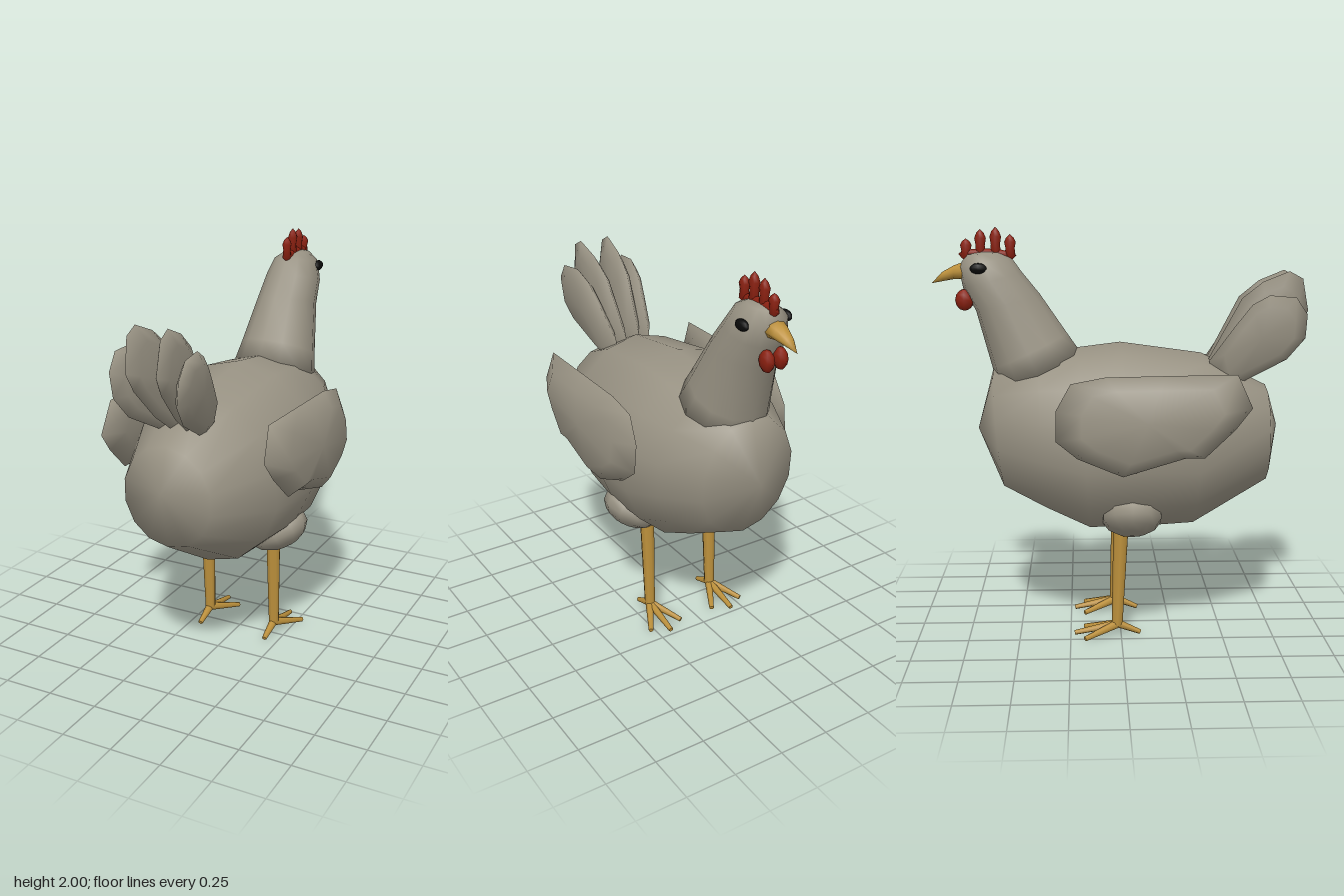
import * as THREE from 'three';
import { mergeVertices } from 'three/addons/utils/BufferGeometryUtils.js';

const V = (x, y, z) => new THREE.Vector3(x, y, z);

// Closed skin over rings of equal point count; winding is turned outward by its volume.
function skin(rings) {
  const n = rings[0].length, pts = rings.flat(), idx = [];
  for (let r = 0; r < rings.length - 1; r++) {
    for (let i = 0; i < n; i++) {
      const a = r * n + i, b = r * n + (i + 1) % n;
      idx.push(a, b, b + n, a, b + n, a + n);
    }
  }
  let volume = 0;
  for (let i = 0; i < idx.length; i += 3) {
    volume += pts[idx[i]].dot(V(0, 0, 0).crossVectors(pts[idx[i + 1]], pts[idx[i + 2]]));
  }
  if (volume < 0) idx.reverse();
  let g = new THREE.BufferGeometry().setFromPoints(pts);
  g.setIndex(idx);
  g = mergeVertices(g, 1e-5);
  g.computeVertexNormals();
  return g;
}

// Oval sections given as [z1, y1, z2, y2, halfWidth]: two opposite points on the centre plane.
function ovalLoft(sections, sides = 12) {
  return skin(sections.map(([z1, y1, z2, y2, w]) => Array.from({ length: sides }, (_, i) => {
    const a = i / sides * Math.PI * 2, c = Math.cos(a) / 2;
    return V(Math.sin(a) * w, (y1 + y2) / 2 + (y1 - y2) * c, (z1 + z2) / 2 + (z1 - z2) * c);
  })));
}

// Cushion-shaped blade from a side outline [z, y]; xAt gives its middle surface.
function cushion(outline, xAt, outer, inner) {
  const n = outline.length;
  const cz = outline.reduce((s, p) => s + p[0], 0) / n;
  const cy = outline.reduce((s, p) => s + p[1], 0) / n;
  const layers = [[0, outer], [0.72, outer * 0.85], [1, 0], [0.72, -inner * 0.85], [0, -inner]];
  return skin(layers.map(([k, d]) => outline.map(([pz, py]) => {
    const z = cz + (pz - cz) * k, y = cy + (py - cy) * k;
    return V(xAt(z, y) + d, y, z);
  })));
}

// Tapered round bar between two points.
function bar(a, b, ra, rb, sides = 8) {
  const d = b.clone().sub(a);
  const g = new THREE.CylinderGeometry(rb, ra, d.length(), sides);
  g.applyQuaternion(new THREE.Quaternion().setFromUnitVectors(V(0, 1, 0), d.normalize()));
  const m = a.clone().add(b).multiplyScalar(0.5);
  return g.translate(m.x, m.y, m.z);
}

function ball(rx, ry, rz, w = 10, h = 7) {
  return new THREE.SphereGeometry(1, w, h).scale(rx, ry, rz);
}

export function createModel() {
  const model = new THREE.Group();
  model.name = 'hen';
  const mat = (name, color) => {
    const m = new THREE.MeshStandardMaterial({ color });
    m.name = name;
    return m;
  };
  const plumage = mat('plumage grey', 0x989283);
  const horn = mat('horn yellow', 0xbd913c);
  const red = mat('comb red', 0x8a2010);
  const black = mat('eye black', 0x0a0a0a);
  const add = (name, geometry, material, parent = model) => {
    const m = new THREE.Mesh(geometry, material);
    m.name = name;
    parent.add(m);
    return m;
  };

  // Plump body, lofted from breast to rump
  add('body', ovalLoft([
    [-0.70, 1.02, -0.70, 1.02, 0],
    [-0.62, 1.32, -0.57, 0.72, 0.25],
    [-0.40, 1.39, -0.36, 0.61, 0.36],
    [-0.20, 1.42, -0.15, 0.51, 0.41],
    [0.00, 1.445, 0.10, 0.515, 0.43],
    [0.40, 1.39, 0.35, 0.53, 0.385],
    [0.72, 1.23, 0.72, 0.75, 0.225],
    [0.78, 1.03, 0.78, 1.03, 0],
  ], 14), plumage);

  // Neck widening into the breast, closing over the head
  add('neckAndHead', ovalLoft([
    [-0.42, 1.20, -0.42, 1.20, 0],
    [-0.60, 1.22, -0.19, 1.39, 0.21],
    [-0.625, 1.32, -0.26, 1.49, 0.19],
    [-0.70, 1.60, -0.39, 1.68, 0.15],
    [-0.76, 1.71, -0.475, 1.785, 0.138],
    [-0.78, 1.81, -0.525, 1.855, 0.11],
    [-0.74, 1.868, -0.58, 1.878, 0.06],
    [-0.66, 1.885, -0.66, 1.885, 0],
  ]), plumage);

  // Hooked beak
  add('beak', ovalLoft([
    [-0.74, 1.79, -0.74, 1.79, 0],
    [-0.75, 1.835, -0.75, 1.75, 0.058],
    [-0.80, 1.818, -0.80, 1.752, 0.043],
    [-0.86, 1.785, -0.855, 1.742, 0.024],
    [-0.91, 1.732, -0.91, 1.732, 0],
  ], 8), horn);

  // Comb: a low ridge with four points
  const comb = new THREE.Group();
  comb.name = 'comb';
  model.add(comb);
  add('combRidge', ball(0.024, 0.03, 0.14, 8, 6).rotateX(0.03).translate(0, 1.867, -0.64), red, comb);
  [[-0.53, 1.965], [-0.60, 2.0], [-0.673, 1.99], [-0.742, 1.945]].forEach(([z, top]) => {
    const low = 1.835, h = top - low;
    const profile = [[0, 0], [0.026, 0.2], [0.022, 0.5], [0.028, 0.72], [0.018, 0.88], [0, 1]]
      .map(([r, t]) => new THREE.Vector2(r, t * h));
    add('combPoint', new THREE.LatheGeometry(profile, 8).scale(0.85, 1, 1).translate(0, low, z), red, comb);
  });

  const wingOutline = [[0.60, 1.18], [0.53, 1.335], [0.2, 1.33], [-0.08, 1.325], [-0.24, 1.295], [-0.31, 1.17],
    [-0.31, 1.03], [-0.21, 0.95], [0, 0.865], [0.29, 0.95], [0.38, 0.95], [0.52, 1.08]];
  const innerFeather = [[0.43, 1.36], [0.59, 1.66], [0.69, 1.74], [0.815, 1.79], [0.88, 1.755],
    [0.91, 1.60], [0.86, 1.51], [0.72, 1.36], [0.56, 1.24], [0.46, 1.24]];
  const outerFeather = [[0.43, 1.36], [0.55, 1.53], [0.63, 1.635], [0.71, 1.68], [0.835, 1.67], [0.89, 1.59],
    [0.885, 1.475], [0.80, 1.37], [0.55, 1.235], [0.46, 1.24]];

  for (const s of [1, -1]) {
    const side = s > 0 ? 'left' : 'right';

    // Folded wing
    add(side + 'Wing', cushion(wingOutline, (z, y) => s * (0.425 + (1.1 - y) * 0.08), s * 0.075, s * 0.065), plumage);

    // Fanned tail feathers
    const fan = (a, b) => (z, y) => {
      const t = ((z - 0.43) + (y - 1.25)) / 0.9;
      return s * (a + (b - a) * t);
    };
    add(side + 'InnerTailFeather', cushion(innerFeather, fan(0.032, 0.078), 0.04, 0.04), plumage);
    add(side + 'OuterTailFeather', cushion(outerFeather, fan(0.085, 0.178), 0.04, 0.04), plumage);

    // Eye and wattle
    add(side + 'Eye', ball(0.022, 0.026, 0.042).translate(s * 0.113, 1.806, -0.675), black);
    add(side + 'Wattle', ball(0.03, 0.052, 0.044, 8, 6).translate(s * 0.035, 1.653, -0.752), red);

    // Thigh
    const thigh = add(side + 'Thigh', ball(0.155, 0.095, 0.15), plumage);
    thigh.position.set(s * 0.24, 0.622, 0.05);
    thigh.rotation.z = s * 0.5;

    // Shank, three front toes and a hind toe
    const foot = new THREE.Group();
    foot.name = side + 'Leg';
    foot.position.x = s * 0.187;
    model.add(foot);
    add('shank', bar(V(0, 0.06, -0.02), V(0, 0.6, 0.0), 0.027, 0.038), horn, foot);
    for (const [x, z] of [[0, -0.23], [0.09, -0.18], [-0.09, -0.18], [0, 0.095]]) {
      add('toe', bar(V(0, 0.06, -0.015), V(x, 0.015, z), 0.021, 0.012, 6), horn, foot);
    }
  }
  return model;
}
